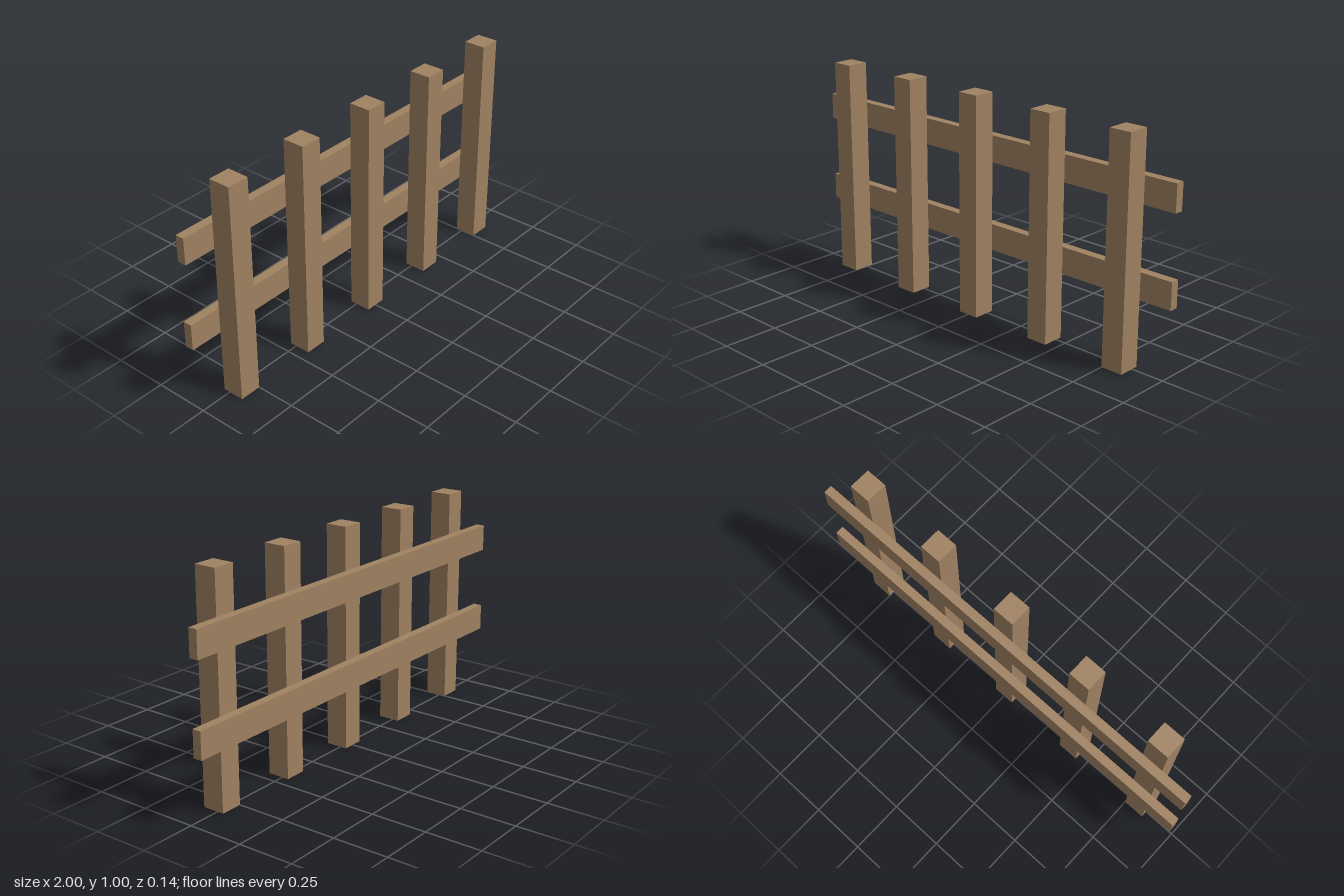
import * as THREE from 'three';

export function createModel() {
  const fence = new THREE.Group();
  fence.name = 'fence';
  const wood = new THREE.MeshStandardMaterial({ color: 0xa08262 });

  const addBeam = (name, geometry, x, y, z) => {
    const beam = new THREE.Mesh(geometry, wood);
    beam.name = name;
    beam.position.set(x, y, z);
    fence.add(beam);
  };

  // Five evenly spaced square posts
  const postGeometry = new THREE.BoxGeometry(0.1, 1, 0.1);
  for (let i = 0; i < 5; i++) addBeam(`post${i + 1}`, postGeometry, -0.8 + i * 0.4, 0.5, 0.02);

  // Two rails fixed to the back of the posts
  const railGeometry = new THREE.BoxGeometry(2, 0.12, 0.04);
  addBeam('lowerRail', railGeometry, 0, 0.35, -0.05);
  addBeam('upperRail', railGeometry, 0, 0.75, -0.05);

  return fence;
}
